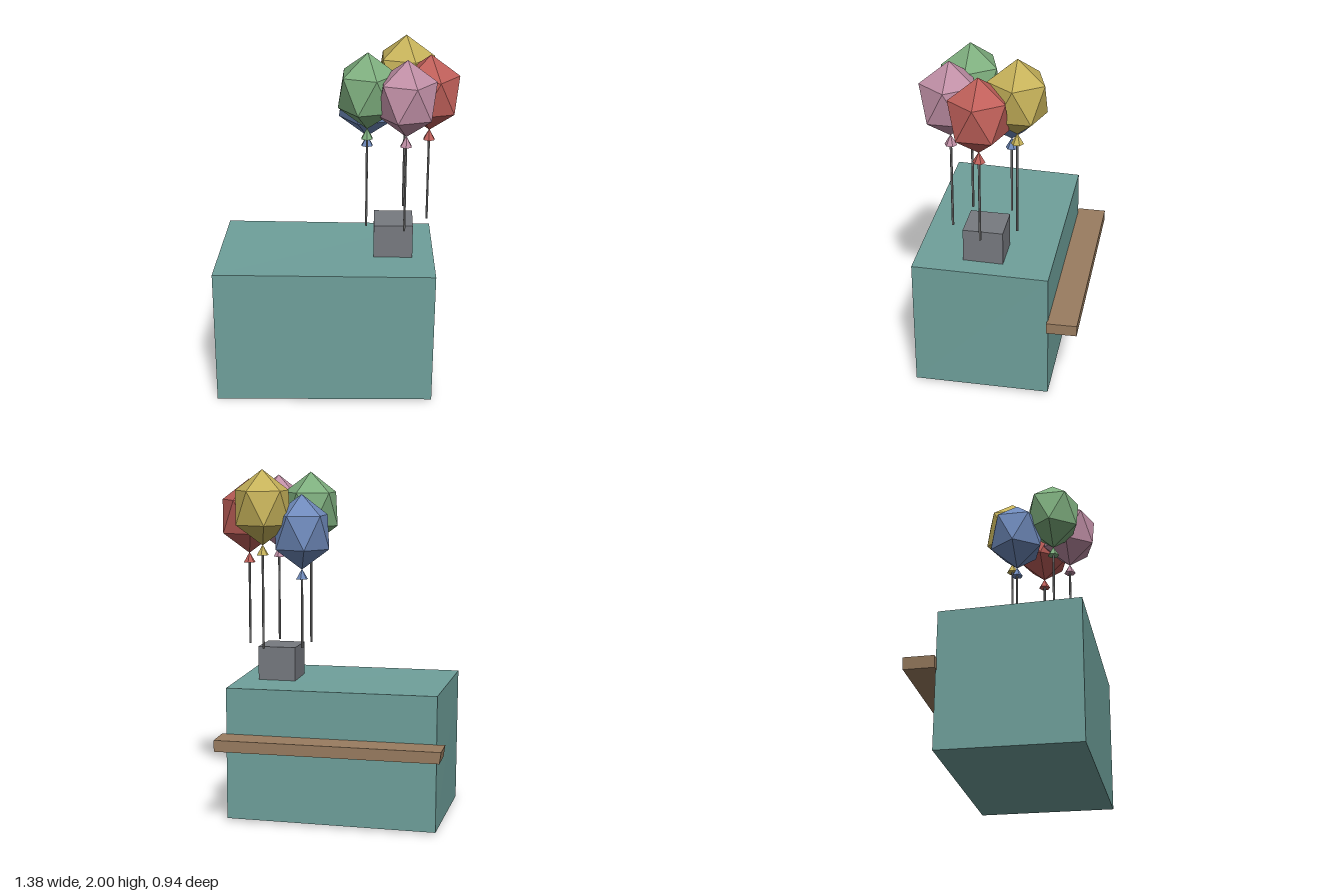
import * as THREE from 'three';

const paint = (color) => new THREE.MeshStandardMaterial({ color, flatShading: true });

function add(parent, name, geometry, material, x = 0, y = 0, z = 0) {
  const mesh = new THREE.Mesh(geometry, material);
  mesh.name = name;
  mesh.position.set(x, y, z);
  parent.add(mesh);
  return mesh;
}

// Hand-cut box: eight corners, indexed by right (1), top (2) and front (4)
function crookedBox(corners) {
  const geometry = new THREE.BoxGeometry(2, 2, 2);
  const p = geometry.attributes.position;
  for (let i = 0; i < p.count; i++) {
    const k = (p.getX(i) > 0 ? 1 : 0) + (p.getY(i) > 0 ? 2 : 0) + (p.getZ(i) > 0 ? 4 : 0);
    p.setXYZ(i, ...corners[k]);
  }
  geometry.computeVertexNormals();
  return geometry;
}

// Faceted balloon standing on one of its points, one upper corner facing +x
function balloonGeometry(radius, halfHeight) {
  const golden = (1 + Math.sqrt(5)) / 2;
  return new THREE.IcosahedronGeometry(1, 0)
    .rotateX(-Math.atan(golden))
    .rotateY(Math.PI / 2)
    .scale(radius, halfHeight, radius);
}

export function createModel() {
  const model = new THREE.Group();
  model.name = 'crateWithBalloons';

  // Large, slightly crooked crate
  add(model, 'crate', crookedBox([
    [-0.645, 0.01, -0.31], [0.56, 0.015, -0.31],
    [-0.645, 0.78, -0.302], [0.56, 0.775, -0.302],
    [-0.66, 0, 0.47], [0.565, 0.012, 0.462],
    [-0.665, 0.786, 0.47], [0.57, 0.785, 0.462],
  ]), paint(0x6fa09b));

  // Plank along the back
  add(model, 'plank', crookedBox([
    [-0.683, 0.445, -0.47], [0.583, 0.445, -0.47],
    [-0.692, 0.51, -0.47], [0.583, 0.51, -0.47],
    [-0.683, 0.445, -0.3], [0.587, 0.445, -0.3],
    [-0.692, 0.51, -0.3], [0.587, 0.51, -0.3],
  ]), paint(0x9a7d60));

  // Small block on the lid
  add(model, 'block', new THREE.BoxGeometry(0.22, 0.2, 0.225), paint(0x777a80), 0.335, 0.875, 0.083);

  // Ring of five balloons, each with a knot and a string
  const halfHeight = 0.215;
  const knotHeight = 0.06;
  const stringBase = 0.975;
  const body = balloonGeometry(0.179, halfHeight);
  const knot = new THREE.ConeGeometry(0.035, knotHeight, 6);
  const stringPaint = paint(0x808080);
  const balloons = [
    ['red', 0xc0605a, 1.94],
    ['pink', 0xc08fa6, 1.96],
    ['green', 0x7eae7e, 1.98],
    ['blue', 0x6f8abb, 1.86],
    ['yellow', 0xc6b25a, 2.0],
  ];
  balloons.forEach(([name, color, top], i) => {
    const angle = (i * Math.PI * 2) / 5;
    const balloon = new THREE.Group();
    balloon.name = name + 'Balloon';
    balloon.position.set(0.335 + 0.19 * Math.cos(angle), 0, 0.08 + 0.19 * Math.sin(angle));
    model.add(balloon);

    const material = paint(color);
    const knotBase = top - 2 * halfHeight - knotHeight + 0.005;
    const length = knotBase - stringBase;
    add(balloon, 'balloonBody', body, material, 0, top - halfHeight, 0);
    add(balloon, 'knot', knot, material, 0, knotBase + knotHeight / 2, 0);
    add(balloon, 'string', new THREE.CylinderGeometry(0.007, 0.007, length, 6), stringPaint,
      0, stringBase + length / 2, 0);
  });

  return model;
}
